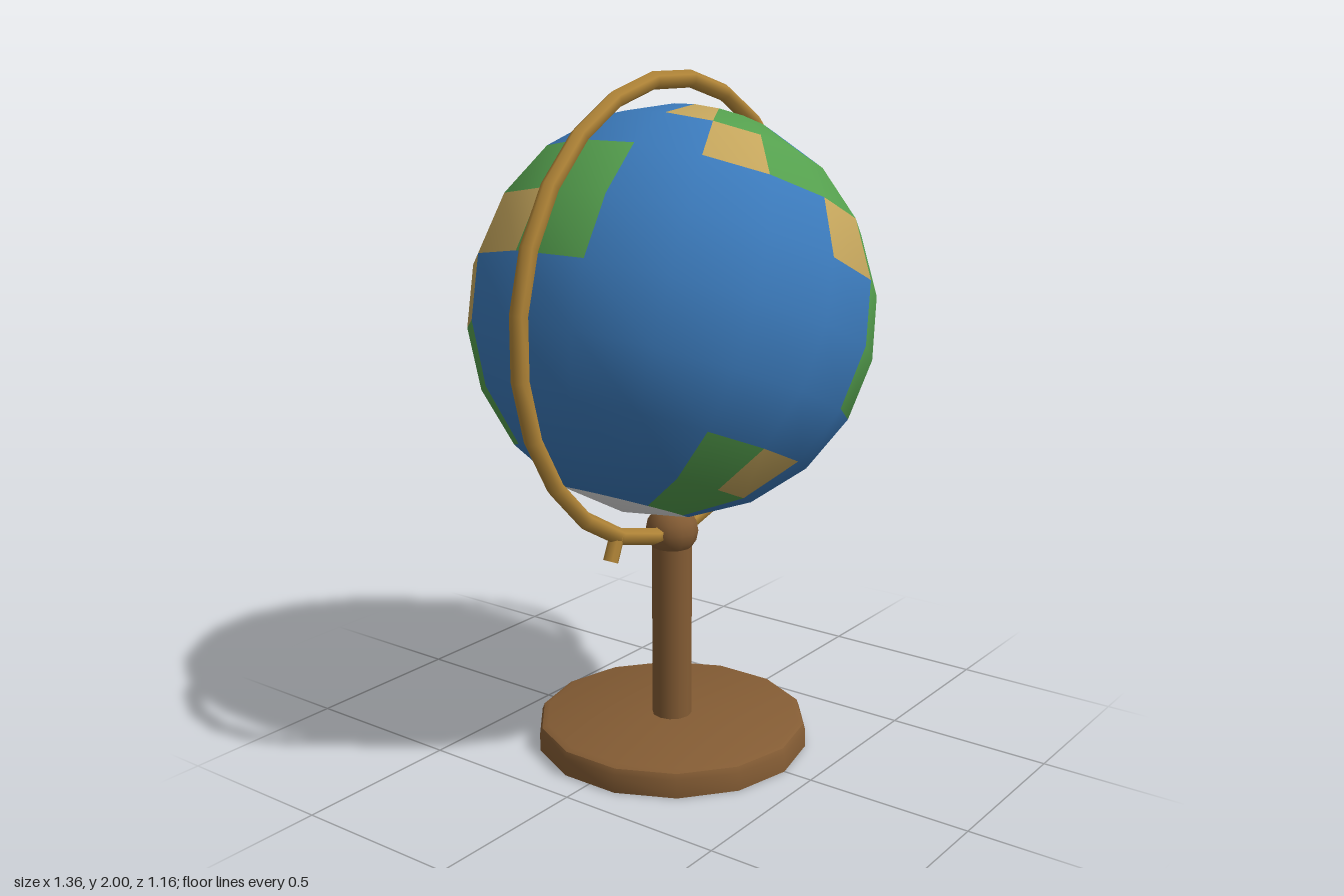
import * as THREE from 'three';
import { toCreasedNormals } from 'three/addons/utils/BufferGeometryUtils.js';

const TILT = THREE.MathUtils.degToRad(23.4);
const CENTRE_Y = 1.32;

// One letter per globe cell, a row per 18 degree band from north to south:
// w ice, g land, s dry land, . ocean
const CELLS = [
  'wwwwwwwwwwwwwwww',
  '.sgg....ggg.....',
  '..sgg...sgg.....',
  'g...sg....gs...g',
  'g....ggs...ss..s',
  '.....ggg....ggs.',
  '......ggs...ggg.',
  '...gs...gg...sg.',
  '...gg....gg.....',
  'wwwwwwwwwwwwwwww',
];

function material(name, color) {
  const m = new THREE.MeshStandardMaterial({ color });
  m.name = name;
  return m;
}

function part(name, geometry, mat, parent) {
  const mesh = new THREE.Mesh(geometry, mat);
  mesh.name = name;
  parent.add(mesh);
  return mesh;
}

// Sphere whose cells are sorted into one material group per letter
function globeGeometry(radius, letters) {
  const cols = CELLS[0].length, rows = CELLS.length;
  const geo = new THREE.SphereGeometry(radius, cols, rows);
  const source = Array.from(geo.index.array);
  const buckets = letters.map(() => []);
  let at = 0;
  CELLS.forEach((row, r) => {
    const count = r === 0 || r === rows - 1 ? 3 : 6;
    for (const letter of row) {
      buckets[letters.indexOf(letter)].push(...source.slice(at, at + count));
      at += count;
    }
  });
  geo.setIndex(buckets.flat());
  let start = 0;
  buckets.forEach((b, i) => {
    geo.addGroup(start, b.length, i);
    start += b.length;
  });
  geo.rotateY(-Math.PI / cols);
  return geo;
}

export function createModel() {
  const model = new THREE.Group();
  model.name = 'deskGlobe';

  const ocean = material('ocean blue', 0x3b7abb);
  const land = material('land green', 0x55a04e);
  const dry = material('dry land tan', 0xc4a55c);
  const ice = material('ice white', 0xe4e4e4);
  const wood = material('wood brown', 0x845c34);
  const brass = material('brass', 0xb08437);

  // Round foot with a small bevel on its top edge
  const profile = [[0, 0], [0.41, 0], [0.41, 0.055], [0.403, 0.072], [0.385, 0.08], [0, 0.08]]
    .map(([x, y]) => new THREE.Vector2(x, y));
  part('base', toCreasedNormals(new THREE.LatheGeometry(profile, 14), 0.7), wood, model);

  // Post and the ball joint holding the ring
  const post = part('post', new THREE.CylinderGeometry(0.06, 0.06, 0.56, 12), wood, model);
  post.position.y = 0.35;
  const joint = part('joint', new THREE.SphereGeometry(0.079, 12, 8), wood, model);
  joint.position.y = 0.665;

  // Upright ring around the globe
  const ring = part('ring', new THREE.TorusGeometry(0.66, 0.025, 6, 24), brass, model);
  ring.rotation.z = Math.PI / 24;
  ring.position.y = CENTRE_Y;

  // Globe and axis pin share the tilt
  const tilted = new THREE.Group();
  tilted.name = 'tiltedGlobe';
  tilted.position.y = CENTRE_Y;
  tilted.rotation.z = -TILT;
  model.add(tilted);
  part('globe', globeGeometry(0.59, ['.', 'g', 's', 'w']), [ocean, land, dry, ice], tilted);
  const pin = part('axisPin', new THREE.CylinderGeometry(0.022, 0.022, 0.08, 8), brass, tilted);
  pin.position.y = -0.695;

  return model;
}
